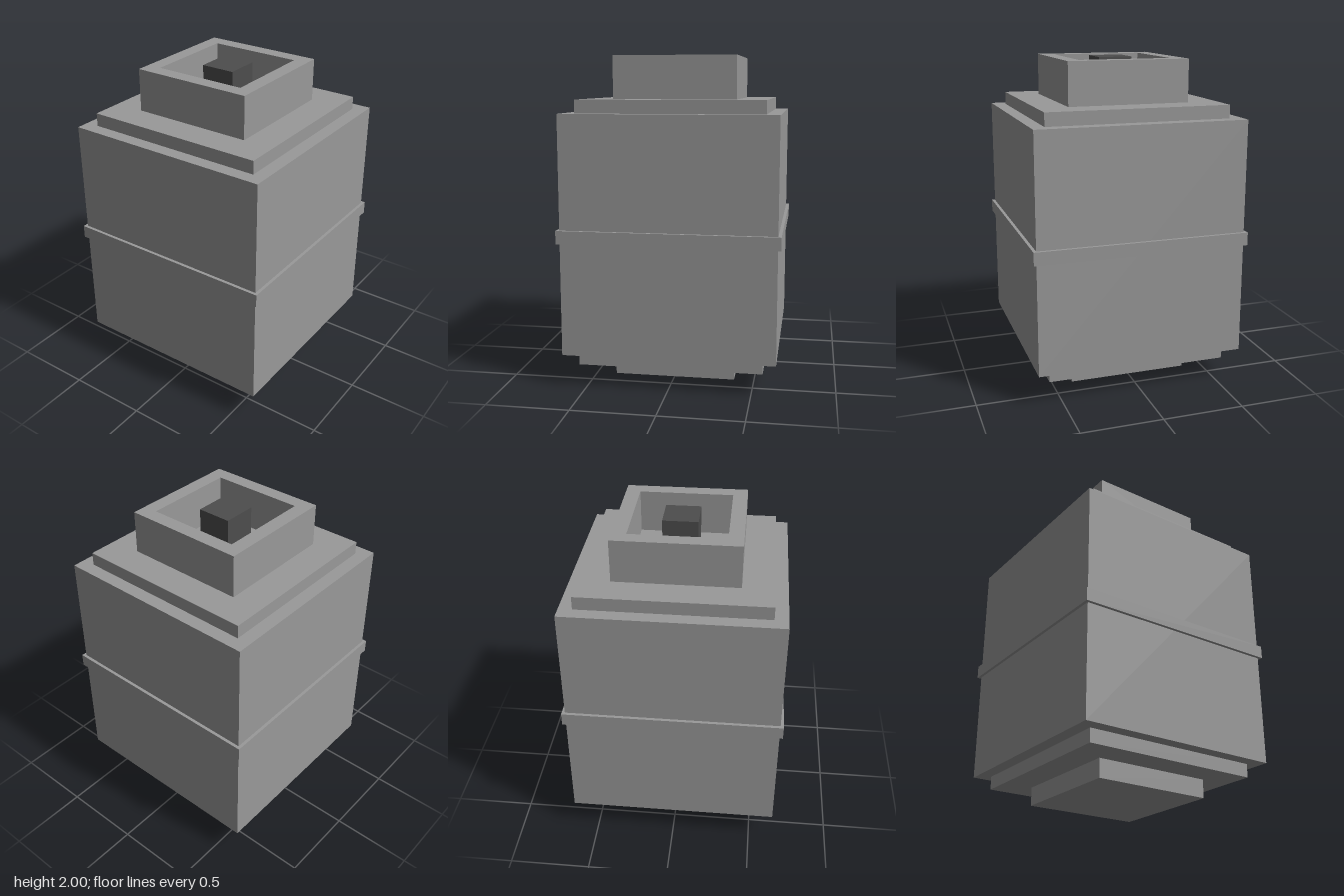
import * as THREE from 'three';

export function createModel() {
  const group = new THREE.Group();
  const grey = new THREE.MeshStandardMaterial({ color: 0x999999, flatShading: true });
  const dark = new THREE.MeshStandardMaterial({ color: 0x4d4d4d, flatShading: true });

  const add = (name, geometry, material = grey) => {
    const mesh = new THREE.Mesh(geometry, material);
    mesh.name = name;
    group.add(mesh);
    return mesh;
  };

  // Square slab of half-width h between heights y0 and y1
  const slab = (name, h, y0, y1, material) => {
    const mesh = add(name, new THREE.BoxGeometry(2 * h, y1 - y0, 2 * h), material);
    mesh.position.y = (y0 + y1) / 2;
  };

  // Square path of half-width h
  const square = (h, PathType) =>
    new PathType([[-h, -h], [h, -h], [h, h], [-h, h]].map(([x, y]) => new THREE.Vector2(x, y)));

  // Stepped body from the foot up, with a band round the middle
  slab('foot', 0.376, 0, 0.114);
  slab('lowerStep', 0.565, 0.114, 0.197);
  slab('body', 0.647, 0.197, 1.655);
  slab('middleBand', 0.666, 0.887, 0.967);
  slab('upperStep', 0.565, 1.655, 1.736);

  // Open square collar on top
  const collarShape = square(0.376, THREE.Shape);
  collarShape.holes.push(square(0.287, THREE.Path));
  const collar = new THREE.ExtrudeGeometry(collarShape, { depth: 0.262, bevelEnabled: false });
  collar.rotateX(-Math.PI / 2);
  add('collar', collar).position.y = 1.736;

  // Dark post inside the collar, standing just proud of its rim
  slab('innerPost', 0.106, 1.736, 2, dark);

  return group;
}
